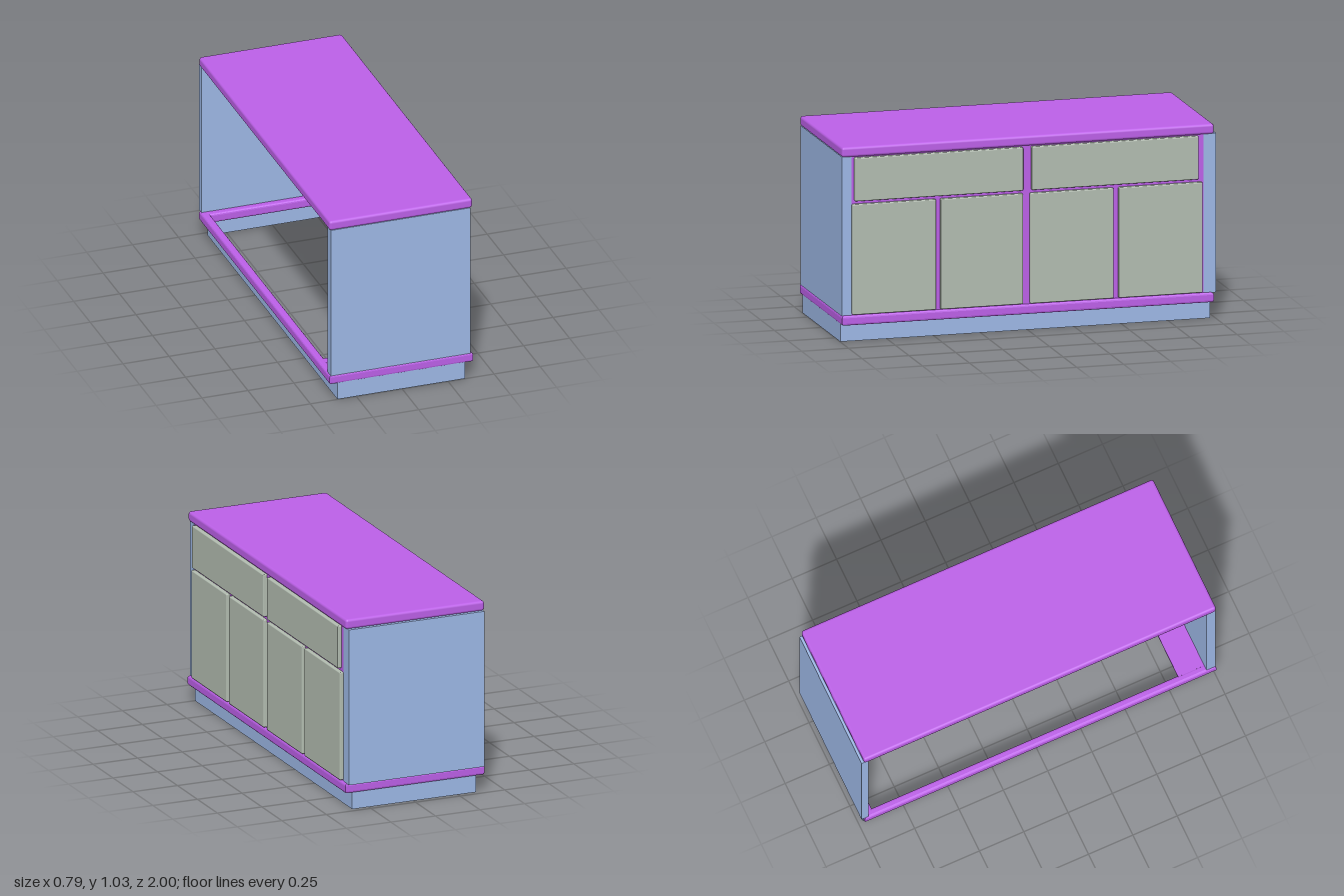
import * as THREE from 'three';
import { RoundedBoxGeometry } from 'three/addons/geometries/RoundedBoxGeometry.js';

const purple = new THREE.MeshStandardMaterial({ color: 0xbc60e8 });
const blue = new THREE.MeshStandardMaterial({ color: 0x9db8e6 });
const sage = new THREE.MeshStandardMaterial({ color: 0xb2bcb0 });

// Box given by its limits on each axis; a radius rounds the edges
function box(parent, name, material, [x0, x1], [y0, y1], [z0, z1], radius = 0) {
  const size = [x1 - x0, y1 - y0, z1 - z0];
  const geometry = radius
    ? new RoundedBoxGeometry(...size, 2, radius)
    : new THREE.BoxGeometry(...size);
  const mesh = new THREE.Mesh(geometry, material);
  mesh.name = name;
  mesh.position.set((x0 + x1) / 2, (y0 + y1) / 2, (z0 + z1) / 2);
  parent.add(mesh);
}

// Rectangular ring lying flat, with its own wall widths and an optional bevel
function ring(parent, name, material, [x0, x1], [y0, y1], [z0, z1], wall, bevel = 0) {
  const rect = (path, a, b, c, d) =>
    path.moveTo(a, -d).lineTo(b, -d).lineTo(b, -c).lineTo(a, -c).closePath();
  const shape = rect(new THREE.Shape(), x0 + bevel, x1 - bevel, z0 + bevel, z1 - bevel);
  shape.holes.push(rect(new THREE.Path(),
    x0 + wall.back, x1 - wall.front, z0 + wall.ends, z1 - wall.ends));
  const geometry = new THREE.ExtrudeGeometry(shape, {
    depth: y1 - y0 - 2 * bevel, bevelEnabled: bevel > 0,
    bevelSize: bevel, bevelThickness: bevel, bevelSegments: 3,
  });
  geometry.rotateX(-Math.PI / 2);
  const mesh = new THREE.Mesh(geometry, material);
  mesh.name = name;
  mesh.position.y = y0 + bevel;
  parent.add(mesh);
}

export function createModel() {
  const cabinet = new THREE.Group();
  cabinet.name = 'sideboard';

  // Hollow plinth and the moulding that rests on it
  ring(cabinet, 'plinth', blue, [-0.352, 0.343], [0, 0.1], [-0.973, 0.998],
    { back: 0.006, front: 0.006, ends: 0.006 });
  ring(cabinet, 'baseMoulding', purple, [-0.395, 0.385], [0.09, 0.142], [-0.982, 1],
    { back: 0.03, front: 0.08, ends: 0.045 }, 0.012);

  // Short piece of floor at the left end
  box(cabinet, 'floorStrip', purple, [-0.36, 0.34], [0.128, 0.141], [0.8, 0.96]);

  // Worktop with softened edges
  box(cabinet, 'worktop', purple, [-0.395, 0.383], [0.974, 1.027], [-0.985, 1], 0.014);

  // End panels; the back stays open
  box(cabinet, 'leftEndPanel', blue, [-0.388, 0.372], [0.14, 0.976], [0.947, 0.998]);
  box(cabinet, 'rightEndPanel', blue, [-0.388, 0.372], [0.14, 0.976], [-0.998, -0.96]);
  box(cabinet, 'rightFrontStile', blue, [0.33, 0.372], [0.14, 0.976], [-0.96, -0.93]);

  // Face panel behind the fronts
  box(cabinet, 'facePanel', purple, [0.35, 0.37], [0.14, 0.976], [-0.932, 0.949]);

  // Drawer fronts
  for (const [z0, z1] of [[0.035, 0.932], [-0.9, -0.01]]) {
    box(cabinet, 'drawerFront', sage, [0.355, 0.392], [0.742, 0.97], [z0, z1], 0.006);
  }

  // Door fronts
  for (const [z0, z1] of [[0.5, 0.945], [0.035, 0.475], [-0.447, -0.002], [-0.922, -0.475]]) {
    box(cabinet, 'doorFront', sage, [0.355, 0.39], [0.146, 0.726], [z0, z1], 0.006);
  }

  return cabinet;
}
